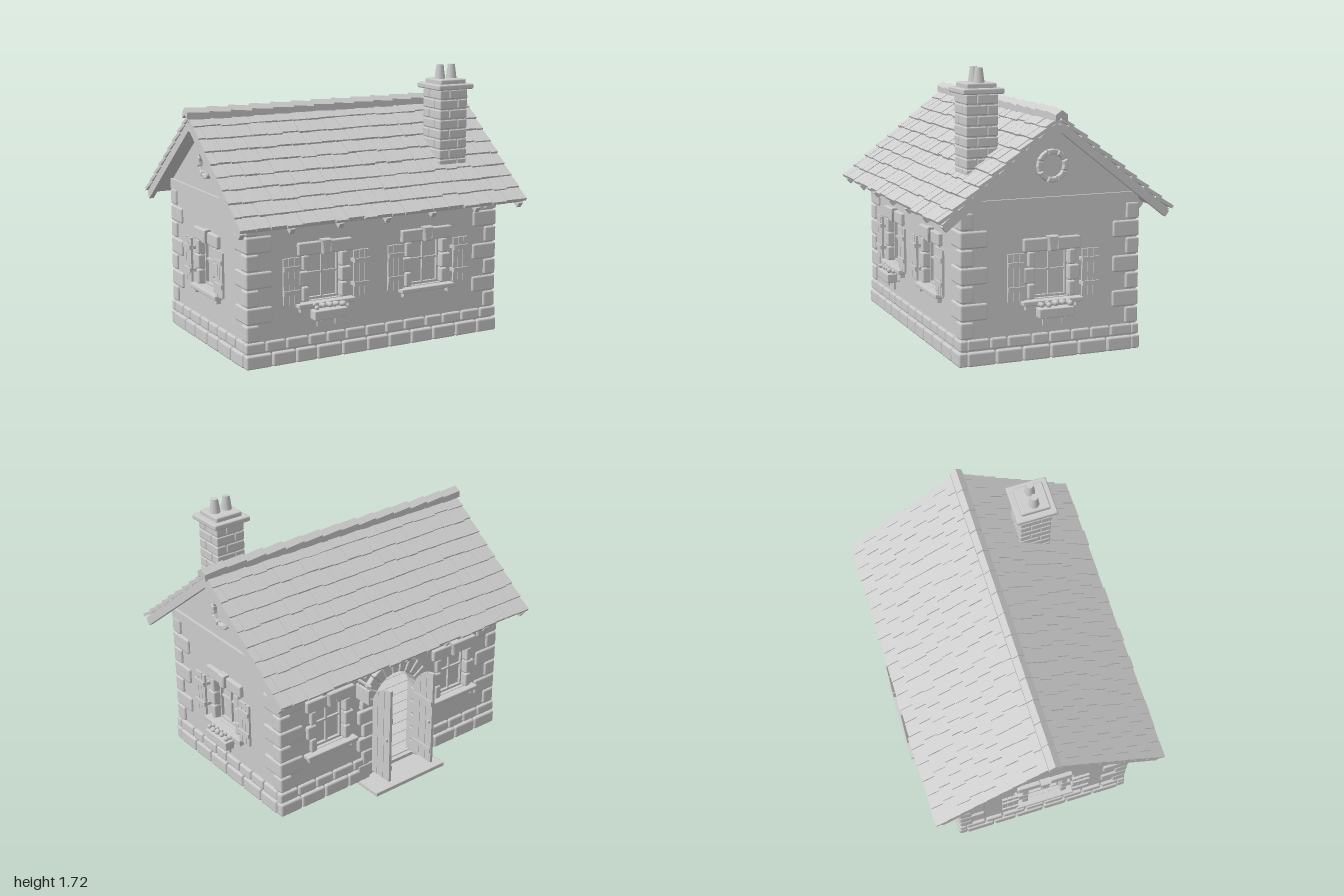
import * as THREE from 'three';
import { RoundedBoxGeometry } from 'three/addons/geometries/RoundedBoxGeometry.js';

const stone = new THREE.MeshStandardMaterial({ color: 0xcccccc });
stone.name = 'pale grey';

let seed = 7;
const rnd = (a, b) => {
  seed = (seed * 16807) % 2147483647;
  return a + (b - a) * (seed / 2147483647);
};

const HX = 0.86, HZ = 0.555, ZC = 0.02;          // wall half sizes, centre offset
const SLOPE = 0.78, PITCH = Math.atan(SLOPE), APEX = 1.435;
const WIN = { w: 0.225, y0: 0.385, y1: 0.67 };
const DOOR = { r: 0.178, spring: 0.54, y0: 0.05 };

function group(parent, name, x = 0, y = 0, z = 0, ry = 0) {
  const g = new THREE.Group();
  g.name = name;
  g.position.set(x, y, z);
  g.rotation.y = ry;
  parent.add(g);
  return g;
}
function add(parent, name, geo, x = 0, y = 0, z = 0) {
  const m = new THREE.Mesh(geo, stone);
  m.name = name;
  m.position.set(x, y, z);
  parent.add(m);
  return m;
}
const box = (p, n, w, h, d, x, y, z) => add(p, n, new THREE.BoxGeometry(w, h, d), x, y, z);
const block = (p, n, w, h, d, x, y, z, r = 0.009) =>
  add(p, n, new RoundedBoxGeometry(w, h, d, 1, r), x, y, z);
const poly = pts => new THREE.Shape(pts.map(p => new THREE.Vector2(...p)));
const extrude = (shape, depth, bevel = 0) => new THREE.ExtrudeGeometry(shape, {
  depth, curveSegments: 16, bevelEnabled: bevel > 0, bevelSize: bevel, bevelThickness: bevel,
  bevelOffset: -bevel, bevelSegments: 1 });

// Ring of wedge stones between two angles
function ringStones(p, name, cx, cy, r0, r1, a0, a1, n, z, depth) {
  const step = (a1 - a0) / n, gap = 0.002 / r0;
  for (let i = 0; i < n; i++) {
    const a = a0 + i * step + gap, b = a0 + (i + 1) * step - gap, m = (a + b) / 2;
    const pt = (r, t) => [r * Math.cos(t), r * Math.sin(t)];
    const s = poly([pt(r0, a), pt(r1, a), pt(r1, m), pt(r1, b), pt(r0, b), pt(r0, m)]);
    add(p, name, extrude(s, depth, 0.005), cx, cy, z);
  }
}

// Row of bevelled stones along a wall, with an optional gap in the middle
function stoneRow(p, x0, x1, y, h, len, out) {
  const n = Math.round((x1 - x0) / len), cuts = [x0];
  for (let i = 1; i < n; i++) cuts.push(x0 + (x1 - x0) * i / n + rnd(-0.015, 0.015));
  cuts.push(x1);
  for (let i = 0; i < n; i++)
    block(p, 'plinthStone', cuts[i + 1] - cuts[i] - 0.006, h, out + 0.03,
      (cuts[i] + cuts[i + 1]) / 2, y, (out - 0.03) / 2, 0.012);
}

// Window with stone surround, sill, optional shutters and flower box
function windowSet(side, x, shutters, flowers) {
  const g = group(side, 'window', x), { w, y0, y1 } = WIN, cy = (y0 + y1) / 2, h = y1 - y0;
  box(g, 'windowPane', w, h, 0.008, 0, cy, -0.045);
  box(g, 'mullion', 0.012, h, 0.016, 0, cy, -0.034);
  box(g, 'glazingBar', w, 0.012, 0.014, 0, cy + 0.02, -0.034);
  for (const s of [-1, 1]) {
    box(g, 'windowFrame', 0.014, h, 0.02, s * (w / 2 - 0.007), cy, -0.032);
    for (let i = 0; i < 3; i++) {
      const bw = i === 1 ? 0.068 : 0.042;
      block(g, 'jambStone', bw, 0.09, 0.06, s * (w / 2 - 0.004 + bw / 2), y0 + 0.047 + i * 0.095, -0.006);
    }
    block(g, 'lintelStone', 0.15, 0.078, 0.06, s * 0.106, y1 + 0.037, -0.004);
    box(g, 'sillBracket', 0.02, 0.03, 0.03, s * 0.16, 0.34, 0.015);
  }
  const key = poly([[-0.022, 0.668], [0.022, 0.668], [0.034, 0.757], [-0.034, 0.757]]);
  add(g, 'keystone', extrude(key, 0.06, 0.006), 0, 0, -0.025);
  for (const y of [y0, y1]) box(g, 'windowRail', w, 0.014, 0.02, 0, y + (y === y0 ? 0.007 : -0.007), -0.032);
  block(g, 'sill', 0.385, 0.028, 0.1, 0, 0.368, 0, 0.006);
  if (shutters) for (const s of [-1, 1]) {
    for (let i = 0; i < 3; i++)
      box(g, 'shutterPlank', 0.033, 0.28 + (i === 1 ? 0.004 : 0), 0.014, s * (0.2 + i * 0.036), cy, 0.034);
    for (const y of [0.46, 0.605]) {
      box(g, 'shutterBatten', 0.105, 0.028, 0.01, s * 0.236, y, 0.046);
      box(g, 'shutterHinge', 0.016, 0.02, 0.03, s * 0.19, y, 0.014);
    }
  }
  if (flowers) {
    const f = group(g, 'flowerBox', 0, 0, 0.065);
    block(f, 'planter', 0.222, 0.058, 0.065, 0, 0.313, 0, 0.006);
    for (const s of [-1, 1]) {
      box(f, 'planterBracket', 0.01, 0.06, 0.012, s * 0.062, 0.26, -0.03);
      box(f, 'planterArm', 0.01, 0.01, 0.09, s * 0.062, 0.283, -0.02);
    }
    for (let i = 0; i < 10; i++)
      add(f, 'flower', new THREE.IcosahedronGeometry(rnd(0.013, 0.019), 1),
        -0.09 + (i >> 1) * 0.045, rnd(0.355, 0.375), i % 2 ? 0.014 : -0.014);
  }
}

// Wall panel with window and door openings, outer face at z = 0
function wallPanel(side, pts, windows, door) {
  const s = poly(pts);
  for (const x of windows) {
    const a = x - WIN.w / 2, b = x + WIN.w / 2;
    s.holes.push(new THREE.Path([[a, WIN.y0], [a, WIN.y1], [b, WIN.y1], [b, WIN.y0]].map(p => new THREE.Vector2(...p))));
  }
  if (door) {
    const d = new THREE.Path();
    d.moveTo(-DOOR.r, DOOR.y0).lineTo(DOOR.r, DOOR.y0).lineTo(DOOR.r, DOOR.spring);
    d.absarc(0, DOOR.spring, DOOR.r, 0, Math.PI, false).lineTo(-DOOR.r, DOOR.y0);
    s.holes.push(d);
  }
  add(side, 'wall', extrude(s, 0.06), 0, 0, -0.06);
}

// Arched entrance with two open plank leaves, step and hanging sign
function entrance(side) {
  const { r, spring } = DOOR;
  ringStones(side, 'archStone', 0, spring, r - 0.004, 0.268, 0, Math.PI, 11, -0.03, 0.055);
  block(side, 'doorstep', 0.56, 0.026, 0.2, 0, 0.015, 0.095, 0.004);
  for (const s of [-1, 1]) {
    for (let i = 0; i < 5; i++) {
      const bw = i % 2 ? 0.075 : 0.11;
      block(side, 'doorJamb', bw, 0.093, 0.06, s * (r - 0.004 + bw / 2), 0.088 + i * 0.098, -0.003);
    }
    const leaf = group(side, 'doorLeaf', s * 0.172 - 0.009, 0, 0.018, -Math.PI / 2);
    const top = u => spring + Math.sqrt(Math.max(0, r * r - (r - u) ** 2)) - 0.003;
    for (let i = 0; i < 3; i++) {
      const a = i * 0.058 + 0.001, b = a + 0.055, pts = [[a, 0.07], [b, 0.07]];
      for (let k = 0; k <= 5; k++) pts.push([b + (a - b) * k / 5, top(b + (a - b) * k / 5)]);
      add(leaf, 'doorPlank', extrude(poly(pts), 0.018), 0, 0, -0.018);
    }
    for (const y of [0.16, 0.5]) box(leaf, 'doorBatten', 0.165, 0.035, 0.008, 0.087, y, s > 0 ? 0.004 : -0.022);
    box(leaf, 'doorHandle', 0.016, 0.02, 0.045, 0.15, 0.365, -0.009);
  }
  const sign = group(side, 'hangingSign', -0.33, 0, 0);
  box(sign, 'signArm', 0.012, 0.01, 0.19, 0, 0.803, 0.093);
  box(sign, 'signMount', 0.02, 0.07, 0.012, 0, 0.79, 0.006);
  for (const z of [0.075, 0.155]) box(sign, 'signHanger', 0.006, 0.03, 0.006, 0, 0.785, z);
  block(sign, 'signBoard', 0.018, 0.1, 0.122, 0, 0.722, 0.114, 0.004);
}

// One roof slope: local z runs down the slope, local y is its normal
function roofSlope(parent, ry) {
  const turn = group(parent, 'roofSide', 0, APEX, 0, ry);
  const g = group(turn, 'roofSlope');
  g.rotation.x = PITCH;
  box(g, 'roofDeck', 1.95, 0.012, 0.9, 0, -0.003, 0.45);
  for (let i = 0; i < 7; i++)
    box(g, 'rafter', 0.03, 0.04, 0.89, -0.96 + i * 0.32, -0.028, 0.465);
  for (let row = 0; row < 9; row++) {
    const low = 0.915 - row * 0.103, len = Math.min(0.135, low);
    let x = -0.985;
    for (let first = true; x < 0.98; first = false) {
      let w = first && row % 2 ? 0.05 : rnd(0.082, 0.112);
      if (x + w > 0.95) w = 0.985 - x;
      const l = len + rnd(-0.006, 0.006);
      const t = box(g, 'roofTile', w - 0.004, 0.02, l, x + w / 2, 0.017 + rnd(-0.002, 0.002), low - len + l / 2);
      t.rotation.x = -0.12;
      x += w;
    }
  }
}

function chimney(root) {
  const g = group(root, 'chimney', 0.607, 0, 0.367);
  box(g, 'chimneyCore', 0.186, 0.55, 0.186, 0, 1.3, 0);
  for (let c = 0; c < 8; c++) for (let k = 0; k < 4; k++) {
    const q = group(g, 'chimneyCourse', 0, 1.08 + (c + 0.5) * 0.062, 0, k * Math.PI / 2);
    block(q, 'chimneyBrick', 0.13, 0.057, 0.068, (c % 2 ? 1 : -1) * 0.035, 0, 0.066, 0.008);
  }
  block(g, 'chimneyCap', 0.256, 0.034, 0.256, 0, 1.592, 0);
  block(g, 'chimneyTop', 0.185, 0.036, 0.185, 0, 1.62, 0);
  for (const s of [-1, 1])
    add(g, 'chimneyPot', new THREE.CylinderGeometry(0.022, 0.034, 0.09, 12), s * 0.042, 1.68, 0);
}

export function createModel() {
  const root = new THREE.Group();
  root.name = 'cottage';
  const house = group(root, 'house', 0, 0, ZC);
  const sides = [
    { name: 'frontSide', ry: 0, d: HZ, win: [-0.358, 0.353], shut: true, box: [0] },
    { name: 'backSide', ry: Math.PI, d: HZ, win: [-0.5, 0.5], shut: false, box: [], door: true },
    { name: 'leftSide', ry: Math.PI / 2, d: HX, win: [0], shut: true, box: [0], gable: true },
    { name: 'rightSide', ry: -Math.PI / 2, d: HX, win: [0], shut: true, box: [], gable: true },
  ];
  for (const s of sides) {
    const g = group(house, s.name, Math.sin(s.ry) * s.d, 0, Math.cos(s.ry) * s.d, s.ry);
    const hw = s.gable ? HZ : HX - 0.06, eave = APEX - 0.02 - SLOPE * HZ;
    const pts = [[-hw, 0.02], [hw, 0.02], [hw, eave], [-hw, eave]];
    if (s.gable) pts.splice(3, 0, [0, APEX - 0.02]);
    wallPanel(g, pts, s.win, s.door);
    s.win.forEach((x, i) => windowSet(g, x, s.shut, s.box.includes(i)));
    // Plinth courses, broken at the door
    const end = s.gable ? HZ - 0.025 : HX + 0.025;
    const runs = s.door ? [[-end, -0.19], [0.19, end]] : [[-end, end]];
    for (const [a, b] of runs) {
      stoneRow(g, a, b, 0.063, 0.084, 0.166, 0.027);
      stoneRow(g, a, b, 0.145, 0.066, 0.14, 0.02);
    }
    if (s.door) entrance(g);
    if (s.gable) {
      box(g, 'tieBeam', 2 * HZ + 0.01, 0.064, 0.03, 0, 0.951, 0.002);
      ringStones(g, 'roundVentStone', 0, 1.165, 0.068, 0.098, Math.PI / 8, Math.PI * 17 / 8, 8, -0.01, 0.032);
    }
  }
  // Corner stones, alternately short and long
  for (const sx of [-1, 1]) for (const sz of [-1, 1]) for (let i = 0; i < 7; i++) {
    const w = i % 2 ? 0.172 : 0.085;
    block(house, 'cornerStone', w, 0.1, w, sx * (HX + 0.015 - w / 2), 0.232 + i * 0.106, sz * (HZ + 0.015 - w / 2), 0.012);
  }
  // Floor and floorboards
  box(house, 'floor', 2 * HX, 0.025, 2 * HZ, 0, 0.0325, 0);
  for (let i = 0; i < 11; i++) box(house, 'floorboard', 1.58, 0.012, 0.092, 0, 0.05, -0.48 + i * 0.096);
  // Roof, ridge beam and overlapping ridge tiles
  const roof = group(house, 'roof');
  roofSlope(roof, 0);
  roofSlope(roof, Math.PI);
  box(roof, 'ridgeBeam', 1.95, 0.05, 0.036, 0, 1.388, 0);
  const cap = extrude(poly([[-0.038, 1.435], [0, 1.46], [0.038, 1.435], [0.038, 1.477], [0, 1.504], [-0.038, 1.477]]), 0.155);
  for (let i = 0; i < 14; i++) {
    const t = group(roof, 'ridgeTile', -1 + i * 0.1418, 0.007, 0, Math.PI / 2);
    const m = add(t, 'ridgeCap', cap);
    m.geometry = cap.clone().translate(0, -1.45, 0).rotateX(rnd(0.04, 0.1)).translate(0, 1.45, 0);
  }
  chimney(house);
  return root;
}
